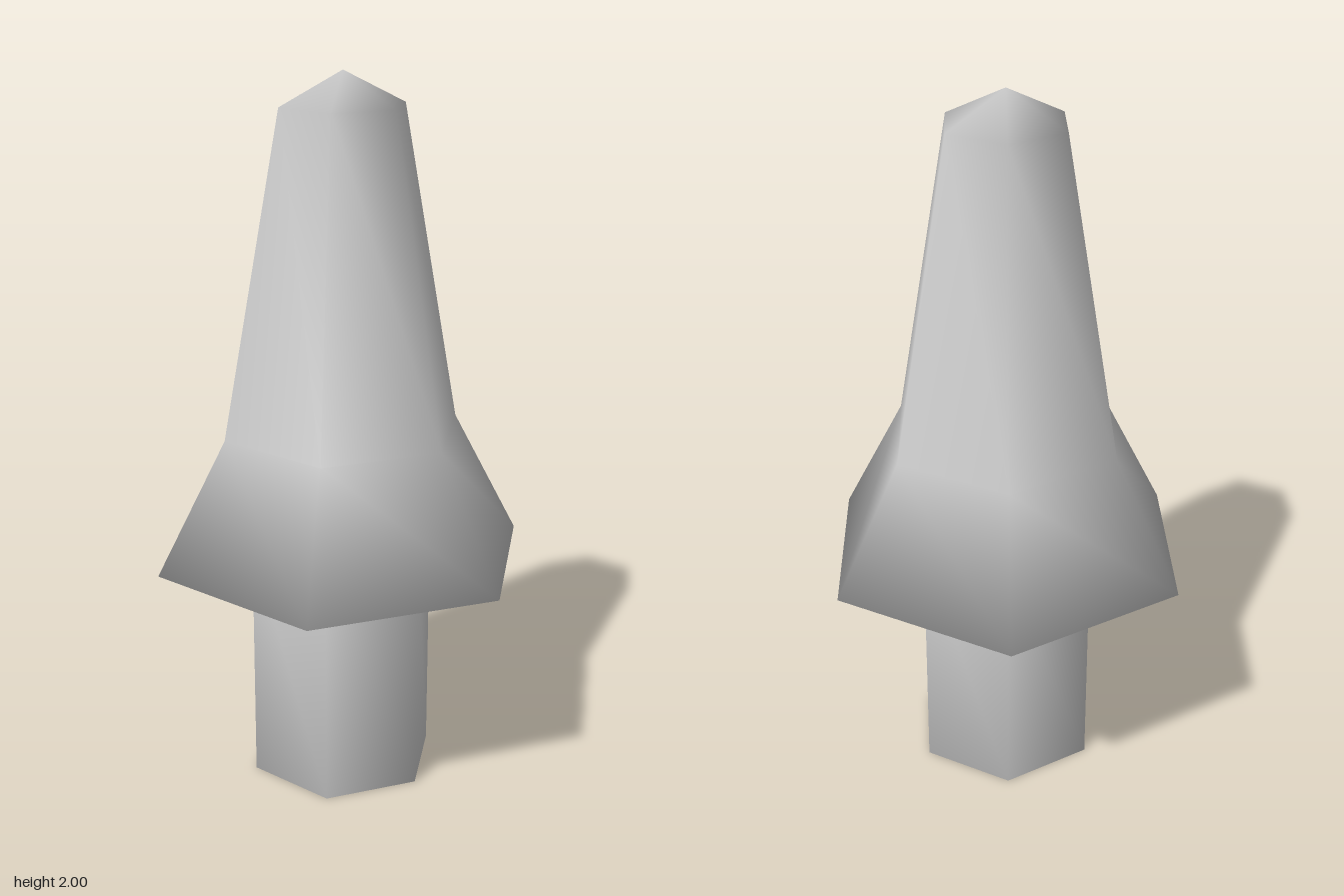
import * as THREE from 'three';
import { mergeVertices } from 'three/addons/utils/BufferGeometryUtils.js';

const SIDES = 6;

// Closed six-sided solid from a bottom-to-top [radius, height] profile,
// with corners shared so the shading runs smoothly over every edge.
function hexSolid(name, profile) {
  const points = profile.map(([r, y]) => new THREE.Vector2(r, y));
  const lathe = new THREE.LatheGeometry(points, SIDES);
  lathe.deleteAttribute('uv');
  lathe.deleteAttribute('normal');
  const geometry = mergeVertices(lathe, 1e-4);
  geometry.computeVertexNormals();
  const mesh = new THREE.Mesh(geometry, new THREE.MeshStandardMaterial({ color: 0xcccccc }));
  mesh.name = name;
  return mesh;
}

export function createModel() {
  const model = new THREE.Group();
  model.name = 'hexagonalSpike';

  // Straight post, its top set just inside the flared body
  model.add(hexSolid('post', [[0, 0], [0.27, 0], [0.27, 0.7], [0, 0.7]]));

  // Flared skirt, tapering shaft and shallow pointed tip
  model.add(hexSolid('flaredBody', [
    [0, 0.65], [0.542, 0.65], [0.343, 1.02], [0.178, 1.91], [0, 2],
  ]));

  return model;
}
